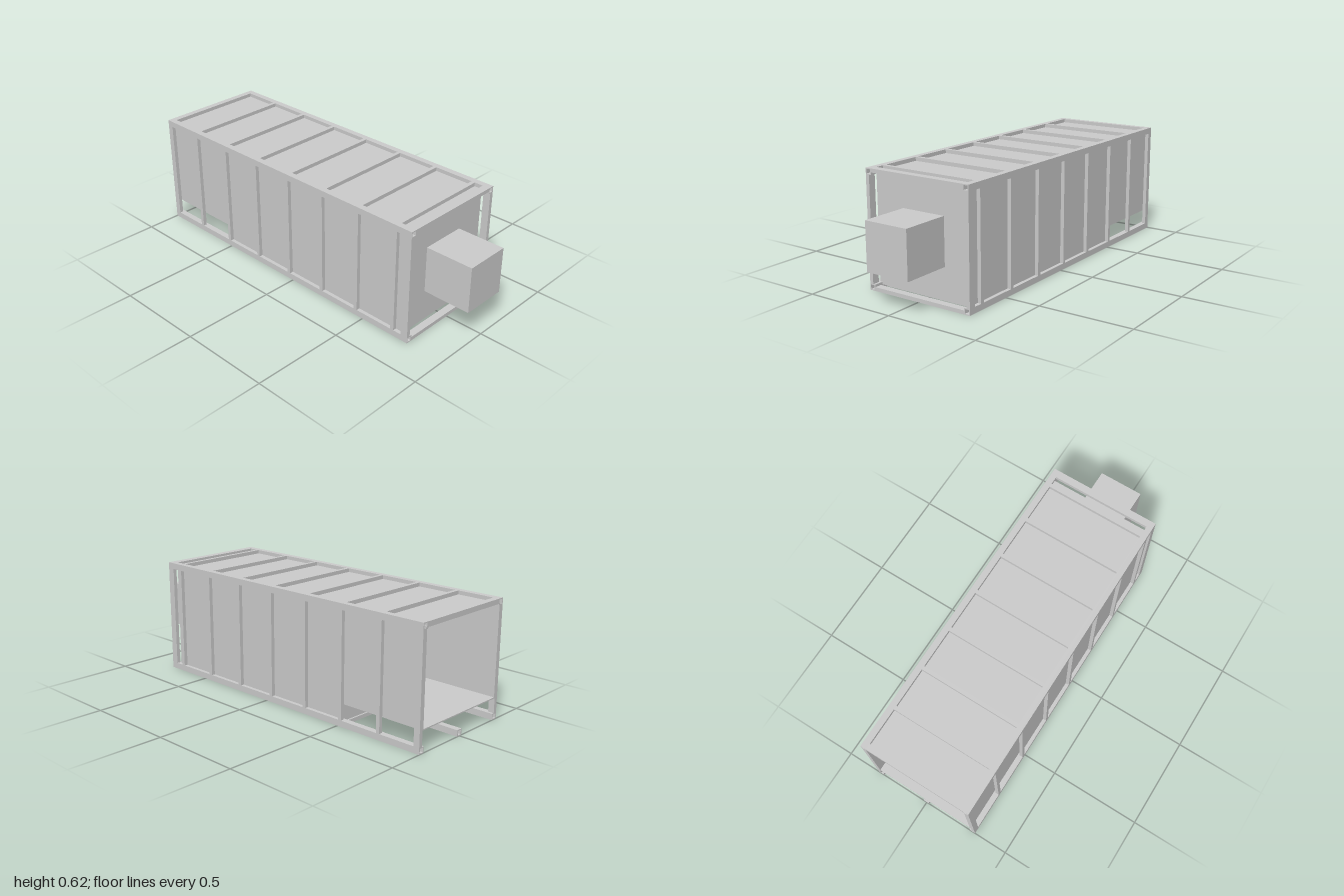
import * as THREE from 'three';

export function createModel() {
  const model = new THREE.Group();
  const material = new THREE.MeshStandardMaterial({ color: 0xcccccc, flatShading: true });
  const W = 0.31, H = 0.62;          // half width and height of the frame
  const BACK = -1, FRONT = 0.79;     // frame ends
  const T = 0.02, R = 0.033;         // bar thickness and rail size
  const STEP = -0.515, NOSE = 0.737; // raised floor start and body front

  // Box given by its minimum and maximum on each axis
  function block(name, x0, x1, y0, y1, z0, z1) {
    const mesh = new THREE.Mesh(new THREE.BoxGeometry(x1 - x0, y1 - y0, z1 - z0), material);
    mesh.position.set((x0 + x1) / 2, (y0 + y1) / 2, (z0 + z1) / 2);
    mesh.name = name;
    model.add(mesh);
  }

  // Hollow square rail running along z
  function tubeRail(name, x, y, z0, z1, size) {
    const h = size / 2, k = h - 0.005;
    const square = (C, s) => new C([[-s, -s], [s, -s], [s, s], [-s, s]].map(p => new THREE.Vector2(...p)));
    const shape = square(THREE.Shape, h);
    shape.holes.push(square(THREE.Path, k));
    const mesh = new THREE.Mesh(
      new THREE.ExtrudeGeometry(shape, { depth: z1 - z0, bevelEnabled: false }), material);
    mesh.position.set(x, y, z0);
    mesh.name = name;
    model.add(mesh);
  }

  // Four long corner rails and the short centre beam under the raised floor
  for (const sx of [-1, 1]) {
    for (const y of [R / 2, H - R / 2]) tubeRail('cornerRail', sx * (W - R / 2), y, BACK, FRONT, R);
  }
  tubeRail('centreBeam', 0, R / 2, BACK, STEP, R);

  // Side uprights, end posts included
  const ribs = Array.from({ length: 7 }, (_, i) => -0.755 + 0.2413 * i);
  const spans = ribs.map(z => [z - 0.01, z + 0.01]);
  const frontSpan = [FRONT - 0.04, FRONT], backSpan = [BACK, BACK + R];
  for (const [z0, z1] of [backSpan, ...spans, frontSpan]) {
    block('rightUpright', -W, -W + T, R, H - R, z0, z1);
    block('leftUpright', W - T, W, R, H - R, z0, z1);
    block('roofCrossbar', -W + R, W - R, H - T, H, z0, z1);
  }
  // The floor crossbars stop where the floor is raised
  for (const [z0, z1] of [...spans.slice(1), frontSpan]) {
    block('floorCrossbar', -W + R, W - R, 0, T, z0, z1);
  }

  // Closed main body inside the frame
  const B = W - T;
  block('mainBody', -B, B, T, H - T, STEP, NOSE);

  // Open rear bay with a raised floor
  const F = 0.112, S = 0.006;
  block('bayFloor', -B, B, F, F + S, BACK, STEP);
  block('bayRoof', -B, B, H - T - S, H - T, BACK, STEP);
  block('bayRightWall', -B, -B + S, F, H - T, BACK, STEP);
  block('bayLeftWall', B - S, B, F, H - T, BACK, STEP);

  // Box on the front panel
  block('frontBox', -0.124, 0.124, 0.187, 0.436, NOSE, 1);

  return model;
}
